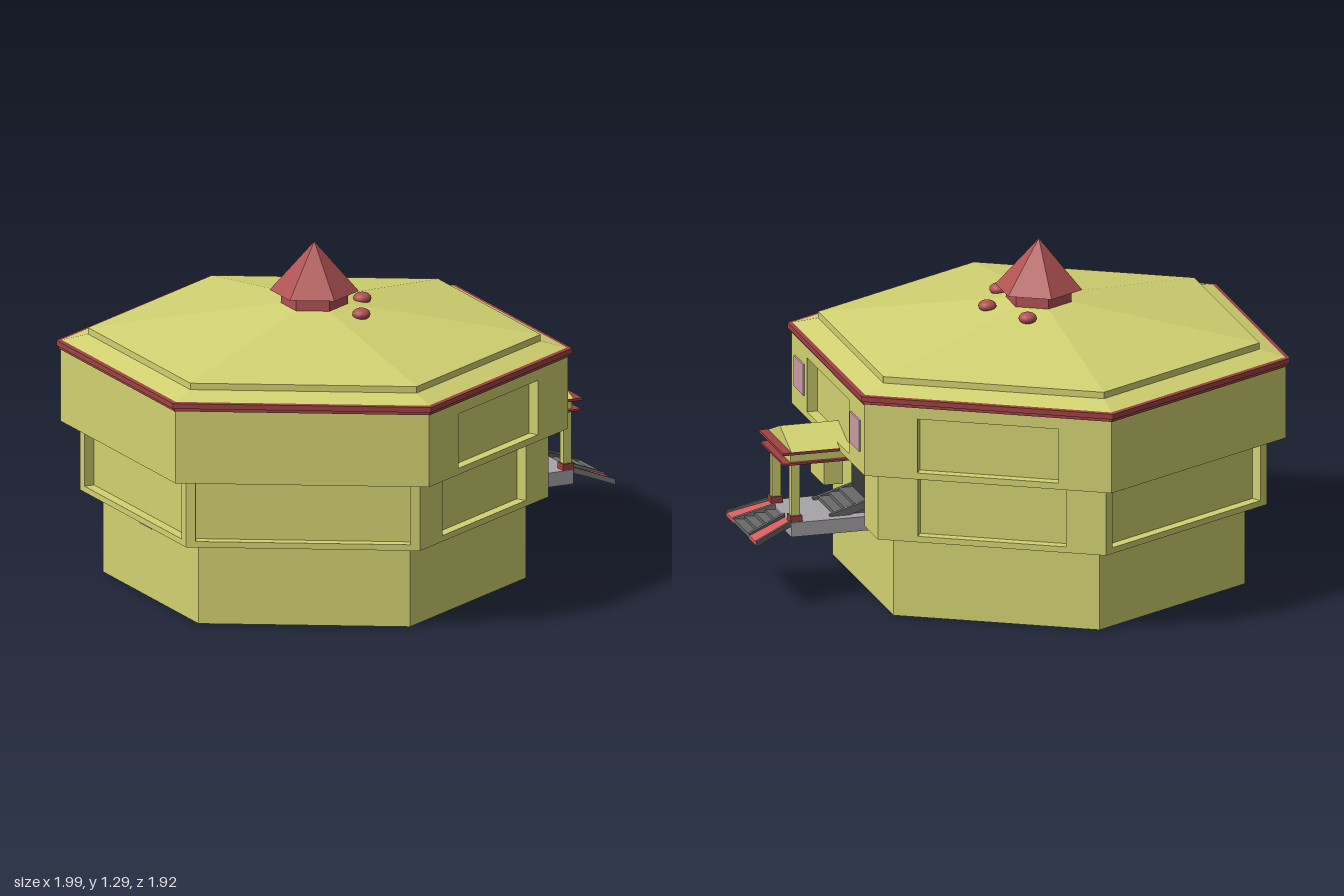
import * as THREE from 'three';

const mat = (color) => new THREE.MeshStandardMaterial({ color, flatShading: true, side: THREE.DoubleSide });
const T = Math.tan(Math.PI / 6);            // half side length per unit of apothem
const R = (apothem) => apothem / Math.cos(Math.PI / 6);
const lerp = THREE.MathUtils.lerp;

export function createModel() {
  const yellow = mat(0xd2d272), red = mat(0xb05252), trim = mat(0x9c4242), stepRed = mat(0xd85c5c);
  const grey = mat(0xa8a4a8), dark = mat(0x6a6a6a), black = mat(0x3a3a3a), pink = mat(0xcc9ca4);
  const model = new THREE.Group();

  const add = (parent, name, geo, material, x = 0, y = 0, z = 0) => {
    const m = new THREE.Mesh(geo, material);
    m.name = name;
    m.position.set(x, y, z);
    parent.add(m);
    return m;
  };
  const box = (parent, name, material, w, h, d, x, y, z) =>
    add(parent, name, new THREE.BoxGeometry(w, h, d), material, x, y, z);
  const poly = (pts) => new THREE.Shape(pts.map(([x, y]) => new THREE.Vector2(x, y)));
  const rect = (x0, y0, x1, y1) => poly([[x0, y0], [x1, y0], [x1, y1], [x0, y1]]);
  // six-sided ring from [apothem, y] pairs
  const hex = (parent, name, pts, material) =>
    add(parent, name, new THREE.LatheGeometry(pts.map(([a, y]) => new THREE.Vector2(R(a), y)), 6), material);
  // box with some sides left out (0 +x, 1 -x, 2 +y, 3 -y, 4 +z, 5 -z)
  const tray = (w, h, d, omit) => {
    const g = new THREE.BoxGeometry(w, h, d);
    g.setIndex([...g.index.array].filter((_, i) => !omit.includes(Math.floor(i / 6))));
    return g;
  };

  const building = new THREE.Group();
  building.name = 'building';
  building.position.x = -0.165;
  model.add(building);

  const A0 = 0.682, A1 = 0.755, A2 = 0.818;        // apothems of the three storeys
  const Y1 = 0.315, Y2 = 0.58, Y3 = 0.87;          // storey heights
  const depth = 0.04, notch = 0.265;

  // flat wall with an optional recessed panel [halfWidth, y0, y1]
  const wall = (face, name, a, y0, y1, panel) => {
    const s = rect(-a * T, y0, a * T, y1);
    if (panel) {
      const [w, p0, p1] = panel;
      s.holes.push(rect(-w, p0, w, p1));
      add(face, name + 'Recess', tray(2 * w, p1 - p0, depth, [4]), yellow, 0, (p0 + p1) / 2, a - depth / 2);
    }
    add(face, name, new THREE.ShapeGeometry(s), yellow, 0, 0, a);
  };
  // underside of an overhang
  const ledge = (face, name, y, pts) =>
    add(face, name, new THREE.ShapeGeometry(poly(pts)).rotateX(Math.PI / 2), yellow, 0, y, 0);

  for (let i = 0; i < 6; i++) {
    const face = new THREE.Group();
    face.name = 'side' + (i + 1);
    face.rotation.y = Math.PI / 6 + i * Math.PI / 3;
    building.add(face);
    const entrance = i === 1, narrow = i < 3;

    wall(face, 'baseWall', A0, 0, Y1);
    wall(face, 'upperWall', A2, Y2, Y3, narrow ? [0.27, 0.605, 0.815] : null);
    ledge(face, 'upperLedge', Y2, [[-A1 * T, A1], [A1 * T, A1], [A2 * T, A2], [-A2 * T, A2]]);

    if (!entrance) {
      wall(face, 'middleWall', A1, Y1, Y2, [narrow ? 0.283 : 0.4, 0.338, 0.572]);
      ledge(face, 'middleLedge', Y1, [[-A0 * T, A0], [A0 * T, A0], [A1 * T, A1], [-A1 * T, A1]]);
      continue;
    }
    // entrance side: full-height alcove, door and two tinted windows
    add(face, 'alcove', tray(2 * notch, Y2 - Y1, A1 - A0, [3, 4]), yellow, 0, (Y1 + Y2) / 2, (A0 + A1) / 2);
    box(face, 'door', black, 0.23, 0.2, 0.01, 0, 0.445, A0 + 0.005);
    for (const s of [-1, 1]) {
      add(face, 'middleWall', new THREE.ShapeGeometry(rect(s * notch, Y1, s * A1 * T, Y2)), yellow, 0, 0, A1);
      ledge(face, 'middleLedge', Y1,
        [[s * notch, A0], [s * A0 * T, A0], [s * A1 * T, A1], [s * notch, A1]]);
      box(face, 'window', pink, 0.12, 0.12, 0.008, s * 0.362, 0.72, A2 + 0.003);
    }
  }

  // ceiling above the open lower storeys
  add(building, 'ceiling', new THREE.CircleGeometry(R(A1), 6).rotateX(-Math.PI / 2).rotateY(Math.PI / 6),
    yellow, 0, Y2 + 0.001, 0);
  box(building, 'wallPlate', pink, 0.02, 0.035, 0.1, -A0 - 0.012, 0.297, 0);

  // eaves and stepped roof
  hex(building, 'eaves', [[A2 - 0.01, 0.86], [0.824, 0.86], [0.824, 0.872], [0.832, 0.872], [0.832, 0.892], [0.815, 0.894]], trim);
  hex(building, 'roof', [[0.818, 0.893], [0.73, 0.918], [0.73, 0.943], [0.1, 1.052], [0, 1.052]], yellow);

  // spire and roof domes
  hex(building, 'spireDrum', [[0.108, 1.04], [0.108, 1.1]], red);
  hex(building, 'spire', [[0, 1.1], [0.144, 1.1], [0, 1.29]], red);
  const smoothRed = new THREE.MeshStandardMaterial({ color: 0xb05252 });
  for (const [x, z] of [[0.1, 0.19], [0.1, -0.19], [0.2, 0]])
    add(building, 'roofDome', new THREE.SphereGeometry(0.034, 20, 12), smoothRed, x, 1.045, z).scale.y = 0.65;

  // entrance porch
  const porch = new THREE.Group();
  porch.name = 'porch';
  model.add(porch);
  box(porch, 'platform', grey, 0.325, 0.055, 0.3, 0.6775, 0.2875, 0);

  // gabled roof between two thin red slabs
  const gable = new THREE.ExtrudeGeometry(poly([[-0.15, 0.59], [0.15, 0.59], [0, 0.65]]),
    { depth: 0.25, bevelEnabled: false }).rotateY(Math.PI / 2);
  add(porch, 'porchRoof', gable, yellow, 0.59, 0, 0);
  box(porch, 'upperSlab', trim, 0.285, 0.01, 0.31, 0.7325, 0.585, 0);
  box(porch, 'porchBeam', yellow, 0.25, 0.034, 0.27, 0.715, 0.563, 0);
  box(porch, 'lowerSlab', trim, 0.28, 0.008, 0.3, 0.73, 0.543, 0);

  // sloping slab: x range, top heights, inner and outer z at both ends
  const ramp = (name, material, s, [x0, x1], [y0, y1], [a0, b0], [a1, b1], thick) => {
    const g = new THREE.BoxGeometry(1, 1, 1), p = g.attributes.position;
    for (let i = 0; i < p.count; i++) {
      const u = p.getX(i) + 0.5, v = p.getZ(i) + 0.5;
      p.setXYZ(i, lerp(x0, x1, u), lerp(y0, y1, u) + (p.getY(i) - 0.5) * thick,
        s * lerp(lerp(a0, b0, v), lerp(a1, b1, v), u));
    }
    add(porch, name, g, material);
  };
  const run = [0.84, 0.99];
  for (const s of [-1, 1]) {
    box(porch, 'post', yellow, 0.034, 0.205, 0.03, 0.82, 0.44, s * 0.125);
    box(porch, 'postBase', trim, 0.046, 0.025, 0.045, 0.82, 0.3275, s * 0.125);
    ramp('stairFlank', stepRed, s, run, [0.315, 0.267], [0.06, 0.15], [0.1, 0.2], 0.014);
    ramp('innerRail', dark, s, run, [0.328, 0.275], [0.055, 0.07], [0.092, 0.107], 0.022);
    ramp('outerRail', dark, s, run, [0.325, 0.272], [0.142, 0.154], [0.188, 0.2], 0.022);
    ramp('doorCheek', dark, s, [0.52, 0.68], [0.37, 0.322], [0.1, 0.115], [0.1, 0.115], 0.03);
  }
  // steps down to the ground side and up to the door
  for (let i = 0; i < 4; i++) {
    const w = 0.13 + i * 0.022;
    box(porch, 'outerStep', dark, 0.038, 0.014, w, 0.859 + i * 0.0375, 0.3 - i * 0.012, 0);
  }
  for (let i = 0; i < 3; i++) {
    const len = 0.14 - i * 0.04;
    box(porch, 'doorStep', dark, len, 0.013, 0.2, 0.52 + len / 2, 0.3215 + i * 0.013, 0);
  }
  return model;
}
